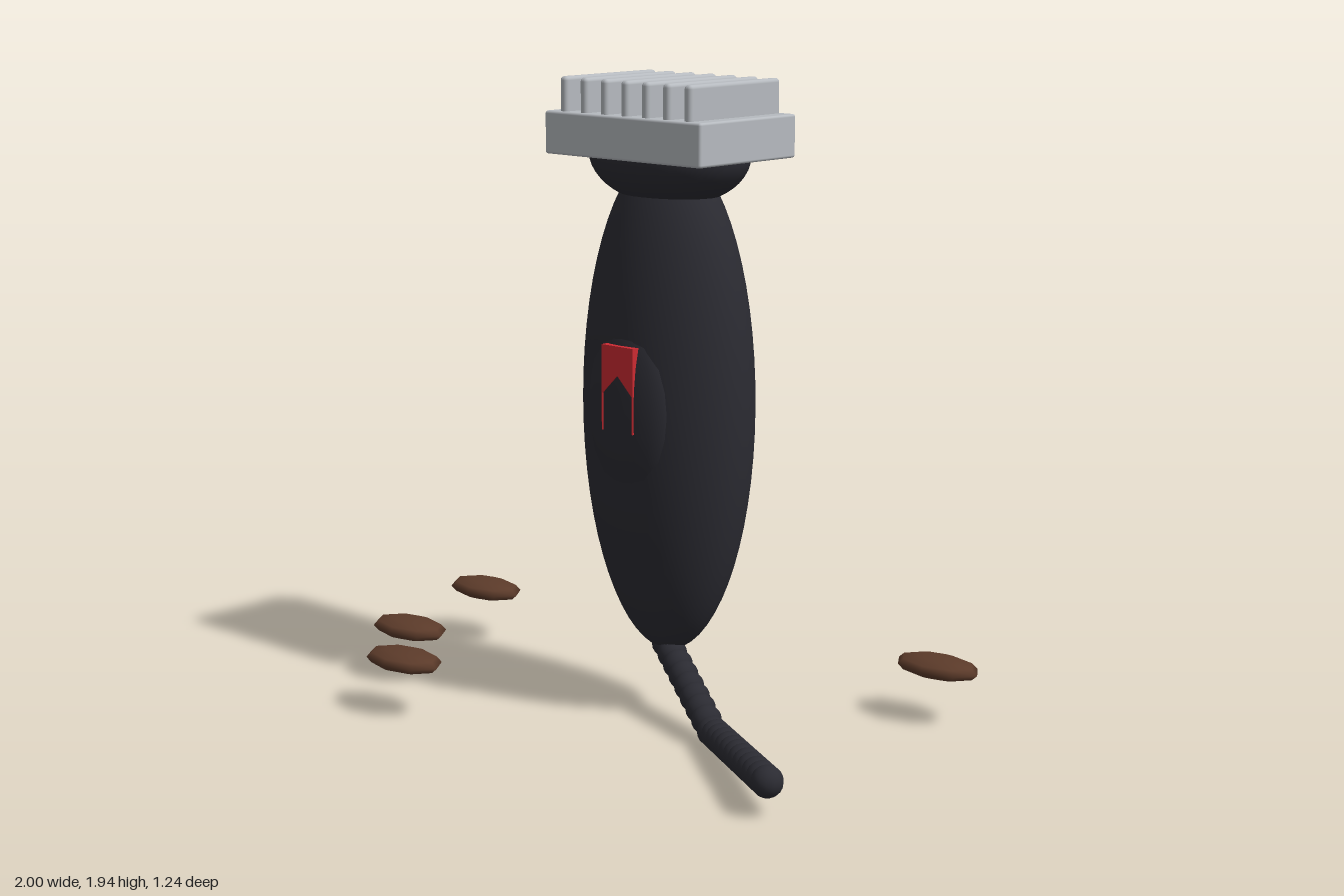
import * as THREE from 'three';
import { RoundedBoxGeometry } from 'three/addons/geometries/RoundedBoxGeometry.js';

const mat = (name, color) => new THREE.MeshStandardMaterial({ name, color });

export function createModel() {
  const group = new THREE.Group();
  const black = mat('black plastic', 0x2b2b32);
  const steel = mat('pale steel', 0xb6babf);
  const red = mat('red switch', 0xcc2a32);
  const brown = mat('brown', 0x5c3b2a);
  const CX = 0.133, CZ = -0.041; // axis of the clipper

  const add = (name, geometry, material, x, y, z) => {
    const mesh = new THREE.Mesh(geometry, material);
    mesh.name = name;
    mesh.position.set(x, y, z);
    group.add(mesh);
    return mesh;
  };
  const ellipsoid = (name, material, pos, radii, w = 32, h = 24) => {
    const g = new THREE.SphereGeometry(1, w, h).scale(...radii);
    return add(name, g, material, ...pos);
  };

  // Handle with a raised grip on its front
  ellipsoid('handle', black, [CX, 0.97, CZ], [0.295, 0.77, 0.21], 40, 32);
  ellipsoid('frontGrip', black, [CX, 0.97, 0.123], [0.163, 0.275, 0.062], 16, 12);

  // Switch: notched plate whose thin edges run down the grip
  const hw = 0.063, leg = 0.059;
  const outline = [
    [-hw, 1.167], [-hw, 0.91], [-leg, 0.91], [-leg, 1.022], [0, 1.08],
    [leg, 1.022], [leg, 0.91], [hw, 0.91], [hw, 1.167],
  ].map(([x, y]) => new THREE.Vector2(x, y));
  add('switch', new THREE.ExtrudeGeometry(new THREE.Shape(outline), { depth: 0.05, bevelEnabled: false }),
    red, CX, 0, 0.133);

  // Bowl-shaped neck under the head
  const bowl = new THREE.SphereGeometry(1, 32, 12, 0, Math.PI * 2, Math.PI / 2, Math.PI / 2);
  add('neck', bowl.scale(0.272, 0.15, 0.195), black, CX, 1.715, CZ);

  // Head plate and comb teeth
  add('headPlate', new RoundedBoxGeometry(0.62, 0.128, 0.42, 2, 0.008), steel, CX, 1.775, CZ);
  for (let i = -3; i <= 3; i++) {
    add('tooth', new RoundedBoxGeometry(0.029, 0.13, 0.394, 3, 0.012), steel, CX + i * 0.0822, 1.877, CZ);
  }

  // Cord: overlapping beads along two straight runs
  const cordPoints = [[0.13, 0.215, -0.04], [0.46, 0.047, 0.12], [0.955, 0.1, 0.453]]
    .map(p => new THREE.Vector3(...p));
  const cord = new THREE.Group();
  cord.name = 'cord';
  const bead = new THREE.SphereGeometry(0.046, 14, 10);
  [8, 12].forEach((count, run) => {
    for (let i = run; i <= count; i++) {
      const mesh = new THREE.Mesh(bead, black);
      mesh.name = 'cordBead';
      mesh.position.lerpVectors(cordPoints[run], cordPoints[run + 1], i / count);
      cord.add(mesh);
    }
  });
  group.add(cord);

  // Small flattened tufts scattered around
  for (const [x, z] of [[-0.853, -0.208], [-0.688, 0.283], [-0.441, 0.528], [0.789, -0.538]]) {
    ellipsoid('tuft', brown, [x, 0.168, z], [0.147, 0.033, 0.087], 8, 6);
  }
  return group;
}
